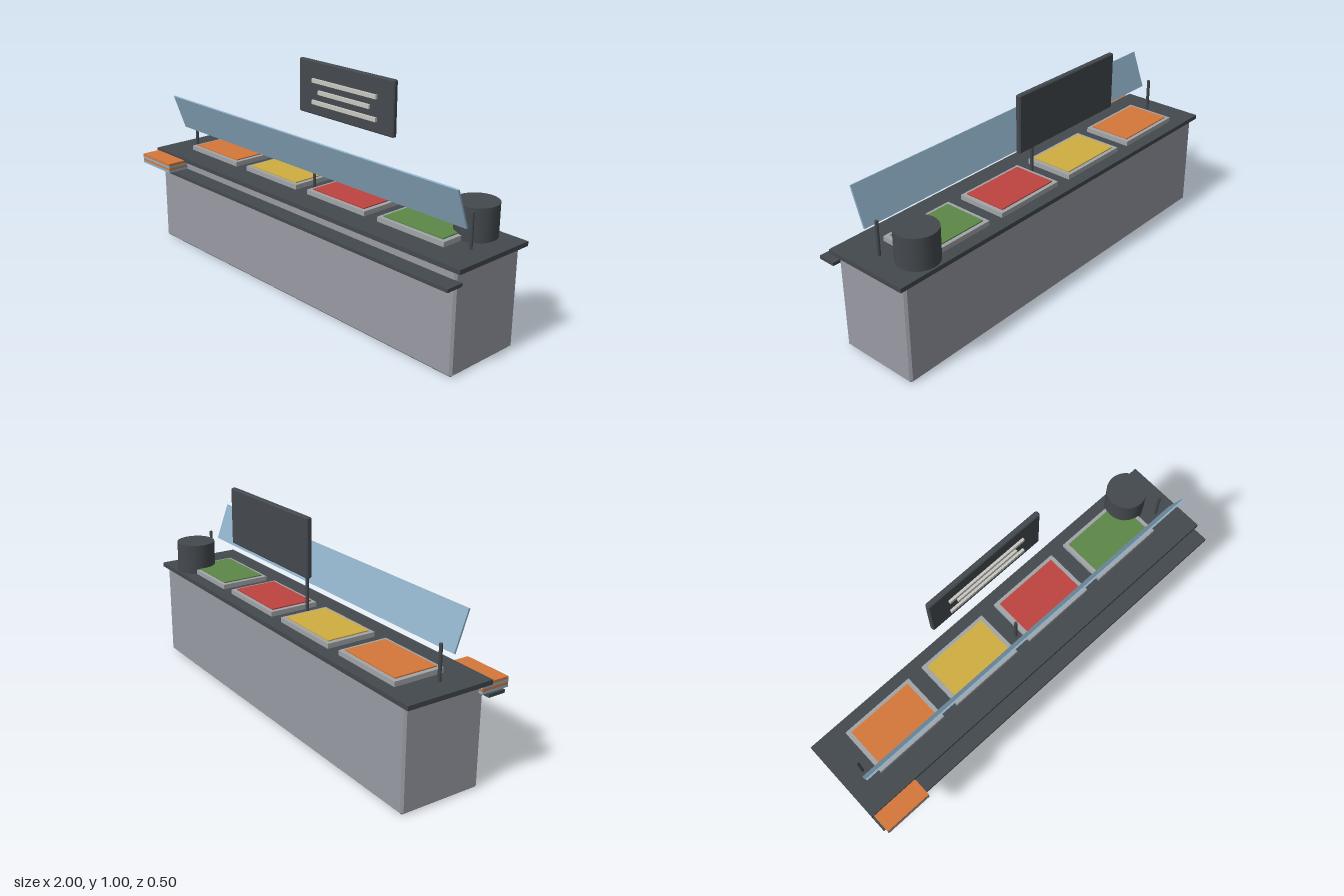
import * as THREE from 'three';
import { ConvexGeometry } from 'three/addons/geometries/ConvexGeometry.js';

const paint = (name, color) => {
  const m = new THREE.MeshStandardMaterial({ color });
  m.name = name;
  return m;
};

// Box with flat chamfers on all edges
function chamferBox(w, h, d, c) {
  const points = [];
  for (const sx of [-1, 1]) for (const sy of [-1, 1]) for (const sz of [-1, 1]) {
    const x = sx * w / 2, y = sy * h / 2, z = sz * d / 2;
    points.push(
      new THREE.Vector3(x, y - sy * c, z - sz * c),
      new THREE.Vector3(x - sx * c, y, z - sz * c),
      new THREE.Vector3(x - sx * c, y - sy * c, z));
  }
  return new ConvexGeometry(points);
}

export function createModel() {
  const dark = paint('charcoal', 0x44494e);
  const steel = paint('steel', 0x989aa3);
  const pan = paint('pan metal', 0xa2a5a8);
  const glass = paint('pale blue', 0x8fb0c8);
  const orange = paint('orange', 0xd4783a);
  const yellow = paint('yellow', 0xd0ae40);
  const red = paint('red', 0xbe433e);
  const green = paint('green', 0x5d8848);
  const light = paint('light grey', 0xc8c8c2);

  const model = new THREE.Group();
  model.name = 'servingCounter';
  const add = (name, geometry, material, x, y, z, parent = model) => {
    const mesh = new THREE.Mesh(geometry, material);
    mesh.name = name;
    mesh.position.set(x, y, z);
    parent.add(mesh);
    return mesh;
  };
  const box = (w, h, d) => new THREE.BoxGeometry(w, h, d);

  // Cabinet, worktop and tray rail
  add('cabinet', chamferBox(1.94, 0.454, 0.382, 0.01), steel, 0, 0.227, -0.046);
  add('worktop', box(2, 0.02, 0.41), dark, 0, 0.463, -0.045);
  add('trayRail', box(2, 0.015, 0.082), dark, 0, 0.409, 0.184);

  // Stack of trays in alternating colours
  const trays = new THREE.Group();
  trays.name = 'trayStack';
  model.add(trays);
  for (let i = 0; i < 4; i++) {
    add('tray', box(0.23, 0.0113, 0.132), i % 2 ? orange : glass, -0.875, 0.4222 + i * 0.0113, 0.184, trays);
  }

  // Food pans
  [orange, yellow, red, green].forEach((food, i) => {
    const group = new THREE.Group();
    group.name = 'foodPan';
    group.position.set(-0.668 + i * 0.436, 0.473, -0.073);
    model.add(group);
    add('panRim', box(0.36, 0.022, 0.236), pan, 0, 0.011, 0, group);
    add('food', box(0.32, 0.008, 0.202), food, 0, 0.023, 0, group);
  });

  // Soup pot
  add('soupPot', new THREE.CylinderGeometry(0.092, 0.092, 0.145, 24), dark, 0.818, 0.5455, -0.15);

  // Sneeze guard on three posts
  for (const x of [-0.9, 0, 0.9]) {
    add('guardPost', new THREE.CylinderGeometry(0.0075, 0.0075, 0.155, 10), dark, x, 0.5505, -0.02);
  }
  add('sneezeGuard', box(1.84, 0.18, 0.008), glass, 0, 0.663, 0.063).rotation.x = 0.35;

  // Menu board with raised bars
  add('menuBoard', chamferBox(0.612, 0.254, 0.025, 0.005), dark, 0, 0.873, -0.21);
  [[0.91, 0.415], [0.859, 0.33], [0.808, 0.415]].forEach(([y, w]) =>
    add('menuBar', box(w, 0.019, 0.014), light, 0, y, -0.193));

  return model;
}
